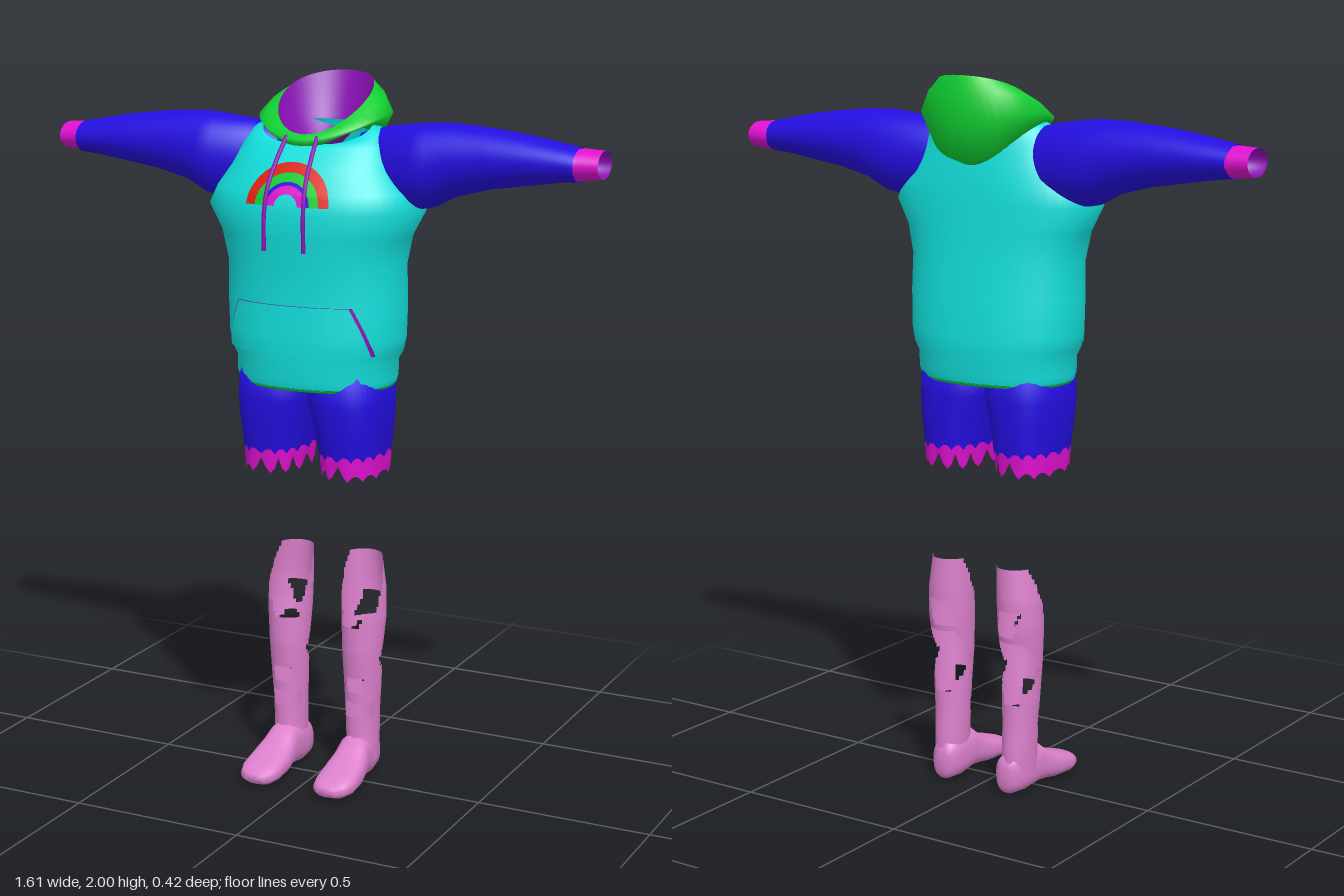
import * as THREE from 'three';

const mat = (name, color) => new THREE.MeshStandardMaterial({ name, color, side: THREE.DoubleSide });
const cyan = mat('cyan', 0x12e0dc), blue = mat('blue', 0x240ee0), green = mat('green', 0x10d032);
const magenta = mat('magenta', 0xe010d0), purple = mat('purple', 0x8a10b4), red = mat('red', 0xe02010);
const pink = mat('pink', 0xdc80cc);

const N = 48;
const spow = (v, e) => Math.sign(v) * Math.abs(v) ** e;
const lerp = THREE.MathUtils.lerp;

// N points [u, v, angle] round a unit superellipse; v = 1 is the front or top
const oval = (n = 2) => Array.from({ length: N }, (_, i) => {
  const a = (i / N) * Math.PI * 2;
  return [spow(Math.sin(a), 2 / n), spow(Math.cos(a), 2 / n), a];
});

// Skin between rows of points; keep(centre) can leave cells out
function skin(rows, closed = true, keep = null) {
  const w = rows[0].length, idx = [];
  for (let r = 0; r < rows.length - 1; r++) {
    for (let i = 0; i < (closed ? w : w - 1); i++) {
      const j = (i + 1) % w, a = r * w + i, b = r * w + j, c = a + w, d = b + w;
      if (keep) {
        const p = rows[r][i], q = rows[r + 1][j];
        if (!keep(p.map((v, k) => (v + q[k]) / 2))) continue;
      }
      idx.push(a, b, d, a, d, c);
    }
  }
  const g = new THREE.BufferGeometry();
  g.setAttribute('position', new THREE.Float32BufferAttribute(rows.flat(2), 3));
  g.setIndex(idx);
  g.computeVertexNormals();
  return g;
}

// Linear lookup in a table sorted by its first column
function rowAt(table, t) {
  let i = 0;
  while (i < table.length - 2 && table[i + 1][0] < t) i++;
  const a = table[i], b = table[i + 1];
  const f = THREE.MathUtils.clamp((t - a[0]) / (b[0] - a[0]), 0, 1);
  return a.map((v, k) => lerp(v, b[k], f));
}

// Torso: y, half width, front z, back z, front neckline drop
const TORSO = [
  [1.17, 0.222, 0.17, -0.155, 0], [1.19, 0.228, 0.175, -0.16, 0], [1.235, 0.228, 0.177, -0.163, 0],
  [1.26, 0.243, 0.18, -0.167, 0], [1.3, 0.252, 0.182, -0.167, 0], [1.4, 0.256, 0.179, -0.16, 0],
  [1.5, 0.254, 0.185, -0.15, 0], [1.58, 0.272, 0.195, -0.145, 0], [1.65, 0.312, 0.2, -0.14, 0],
  [1.7, 0.288, 0.186, -0.138, 0], [1.76, 0.245, 0.153, -0.13, 0], [1.82, 0.215, 0.112, -0.12, 0],
  [1.86, 0.19, 0.09, -0.112, 0.035], [1.872, 0.16, 0.085, -0.108, 0.05],
];
const TN = 2.25;
const torsoRing = ([y, w, f, b, drop], grow = 0) => oval(TN).map(([u, v]) =>
  [u * (w + grow), y - drop * Math.max(0, v), v > 0 ? v * (f + grow) : -v * (b - grow)]);
function torsoFront(x, y) {
  const [, w, f] = rowAt(TORSO, y);
  return f * Math.max(0, 1 - Math.abs(x / w) ** TN) ** (1 / TN);
}

// Thin patch lying on the front of the torso; at(u, v) gives x, y
function patch(at, nu, nv, lift) {
  const rows = [];
  for (let j = 0; j <= nv; j++) {
    rows.push(Array.from({ length: nu + 1 }, (_, i) => {
      const [x, y] = at(i / nu, j / nv);
      return [x, y, torsoFront(x, y) + lift];
    }));
  }
  return skin(rows, false);
}

// Hood rings: half width, front z, back z, then y at front, side, back
const hoodRing = ([w, f, b, yf, ys, yb]) => oval().map(([u, c]) =>
  [u * w, ys + ((yf - yb) / 2) * c + ((yf + yb) / 2 - ys) * c * c, lerp(b, f, (c + 1) / 2)]);
const RIM = [0.128, 0.092, -0.185, 1.85, 1.945, 2.0];
const LINING = [[0.062, 0.055, -0.08, 1.8, 1.82, 1.82], [0.1, 0.078, -0.14, 1.825, 1.865, 1.88], RIM];
const HOOD = [RIM, [0.16, 0.102, -0.2, 1.848, 1.932, 1.955], [0.187, 0.112, -0.206, 1.838, 1.9, 1.87],
  [0.167, 0.115, -0.175, 1.825, 1.872, 1.775], [0.135, 0.1, -0.125, 1.815, 1.862, 1.757]];

// Sleeve rings: x, top y, bottom y, front z, back z
const SLEEVE = [
  [0.12, 1.85, 1.7, 0.02, -0.07], [0.2, 1.872, 1.66, 0.055, -0.1], [0.3, 1.885, 1.655, 0.083, -0.108],
  [0.34, 1.888, 1.663, 0.08, -0.11], [0.4, 1.888, 1.694, 0.07, -0.105], [0.5, 1.88, 1.72, 0.065, -0.1],
  [0.6, 1.868, 1.735, 0.06, -0.095], [0.7, 1.85, 1.75, 0.052, -0.085], [0.745, 1.842, 1.753, 0.045, -0.08]];
const CUFF = [[0.738, 1.838, 1.756, 0.04, -0.08], [0.75, 1.84, 1.756, 0.035, -0.082], [0.807, 1.836, 1.762, 0.028, -0.08]];
const armRing = ([x, t, b, f, k], s, shrink = 1) => oval().map(([u, v]) =>
  [s * x, (t + b) / 2 + (v * shrink * (t - b)) / 2, (f + k) / 2 + (u * shrink * (f - k)) / 2]);

// Shorts rings: y, inner x, outer x, front z, back z
const SHORTS = [[1.21, -0.01, 0.212, 0.145, -0.13], [1.12, 0, 0.216, 0.145, -0.13],
  [1.06, 0.016, 0.212, 0.138, -0.127], [0.975, 0.03, 0.203, 0.125, -0.12], [0.925, 0.036, 0.2, 0.12, -0.115]];
const shortsRing = ([y, a, b, f, k], s, jag = () => 0, size = 1) => oval(2.5).map(([u, v], i) =>
  [s * ((a + b) / 2 + (u * size * (b - a)) / 2), y + jag(i, u), (f + k) / 2 + (v * size * (f - k)) / 2]);
const trimJag = (i) => (i % 3 ? 0.005 : -0.008);
const hemJag = (i, u) => -0.013 + (i % 4 === 0 ? (u < 0.2 ? 0.042 : 0.016) : i % 4 === 2 ? 0 : 0.012);

// Torn leg: y, centre x, half width, front z, back z
const LEG = [[0.05, 0.115, 0.043, 0.015, -0.117], [0.12, 0.115, 0.045, 0.003, -0.116], [0.2, 0.115, 0.048, 0.002, -0.11],
  [0.28, 0.116, 0.053, 0.004, -0.107], [0.38, 0.116, 0.057, 0.014, -0.108], [0.48, 0.117, 0.063, 0.014, -0.124],
  [0.56, 0.115, 0.063, 0.012, -0.127], [0.655, 0.108, 0.056, 0.005, -0.123]];
function legKeep([x, y, z]) {
  const dx = Math.abs(x) - 0.115;
  if (y > 0.5 && z > lerp(-0.015, -0.085, (y - 0.5) / 0.155)) return false;      // open thigh front
  if (y > 0.29 && y < 0.44 && z < -0.04 - Math.abs(y - 0.36) * 0.75) return false; // open knee back
  if (y > 0.46 && y < 0.53 && Math.abs(dx + 0.005 - (y - 0.495) * 0.3) < 0.032) return false;
  if (y > 0.265 && y < 0.3 && Math.abs(dx) < 0.028) return false;
  return !(y > 0.19 && y < 0.235 && z > -0.03);                                   // shin tear
}
// Foot: z, centre x, half width, bottom y, top y
const FOOT = [[-0.12, 0.108, 0.02, 0.02, 0.08], [-0.112, 0.108, 0.036, 0.004, 0.11], [-0.06, 0.11, 0.045, 0, 0.13],
  [0, 0.113, 0.048, 0.008, 0.13], [0.03, 0.115, 0.053, 0.008, 0.105], [0.07, 0.116, 0.059, 0.003, 0.085],
  [0.13, 0.117, 0.06, 0.002, 0.064], [0.165, 0.115, 0.05, 0.005, 0.052], [0.182, 0.112, 0.03, 0.012, 0.04]];
const footRing = ([z, cx, w, b, t], s, size = 1) => oval(2.5).map(([u, v]) =>
  [s * (cx + u * w * size), (b + t) / 2 + (v * size * (t - b)) / 2, z]);

export function createModel() {
  const model = new THREE.Group();
  const add = (name, geometry, material) => {
    const m = new THREE.Mesh(geometry, material);
    m.name = name;
    model.add(m);
  };

  // Sweater body and hem
  add('torso', skin(TORSO.map((r) => torsoRing(r))), cyan);
  add('hemLining', skin([[1.163, 0.217, 0.165, -0.15, 0], [1.172, 0.223, 0.171, -0.156, 0]].map((r) => torsoRing(r))), green);

  // Front pocket with darker slits at its sides
  const pocket = (extra) => (u, v) => {
    const w = lerp(0.212, 0.165, v ** 1.4) + extra;
    return [(u * 2 - 1) * w, lerp(1.265, 1.4, v)];
  };
  add('pocketLining', patch(pocket(0.006), 24, 10, 0.003), purple);
  add('pocket', patch(pocket(0), 24, 10, 0.009), cyan);

  // Rainbow on the chest
  const bands = [[0.122, 0.094, red], [0.094, 0.068, green], [0.068, 0.058, blue], [0.058, 0.034, magenta]];
  bands.forEach(([outer, inner, m], i) => add('rainbowBand' + (i + 1), patch((u, v) => {
    const a = Math.PI * u, r = lerp(outer, inner, v);
    return [Math.cos(a) * r, 1.67 + Math.sin(a) * r * 0.92];
  }, 32, 3, 0.007), m));

  // Hood
  add('hoodLining', skin(LINING.map(hoodRing)), purple);
  add('hood', skin(HOOD.map(hoodRing)), green);

  for (const s of [1, -1]) {
    const side = s > 0 ? 'left' : 'right';

    // Drawstring
    const path = [[0.045, 1.845, 0.1], [0.05, 1.79, 0.147], [0.055, 1.72, 0.193], [0.058, 1.65, 0.21], [0.059, 1.55, 0.21]];
    const curve = new THREE.CatmullRomCurve3(path.map(([x, y, z]) => new THREE.Vector3(s * x, y, z)));
    add(side + 'Drawstring', new THREE.TubeGeometry(curve, 24, 0.006, 8), purple);

    // Sleeve and cuff
    add(side + 'Sleeve', skin(SLEEVE.map((r) => armRing(r, s))), blue);
    add(side + 'Cuff', skin(CUFF.map((r) => armRing(r, s))), magenta);
    add(side + 'CuffLining', skin([armRing(CUFF[2], s), armRing(CUFF[1], s, 0.9), armRing(CUFF[1], s, 0)]), purple);

    // Shorts leg with a ragged hem
    const legRows = SHORTS.slice(0, 4).map((r, i) => shortsRing(r, s, i === 3 ? trimJag : undefined));
    add(side + 'ShortsLeg', skin([shortsRing(SHORTS[0], s, undefined, 0), ...legRows]), blue);
    add(side + 'ShortsHem', skin([shortsRing(SHORTS[3], s, trimJag), shortsRing(SHORTS[4], s, hemJag)]), magenta);

    // Torn stocking leg and foot
    const rows = Array.from({ length: 41 }, (_, i) => {
      const [y, cx, w, f, b] = rowAt(LEG, lerp(0.05, 0.655, i / 40));
      return oval().map(([u, v]) => [s * (cx + u * w), y, (f + b) / 2 + (v * (f - b)) / 2]);
    });
    add(side + 'Stocking', skin(rows, true, legKeep), pink);
    const foot = FOOT.map((r) => footRing(r, s));
    add(side + 'Foot', skin([footRing(FOOT[0], s, 0), ...foot, footRing(FOOT[FOOT.length - 1], s, 0)]), pink);
  }
  return model;
}
